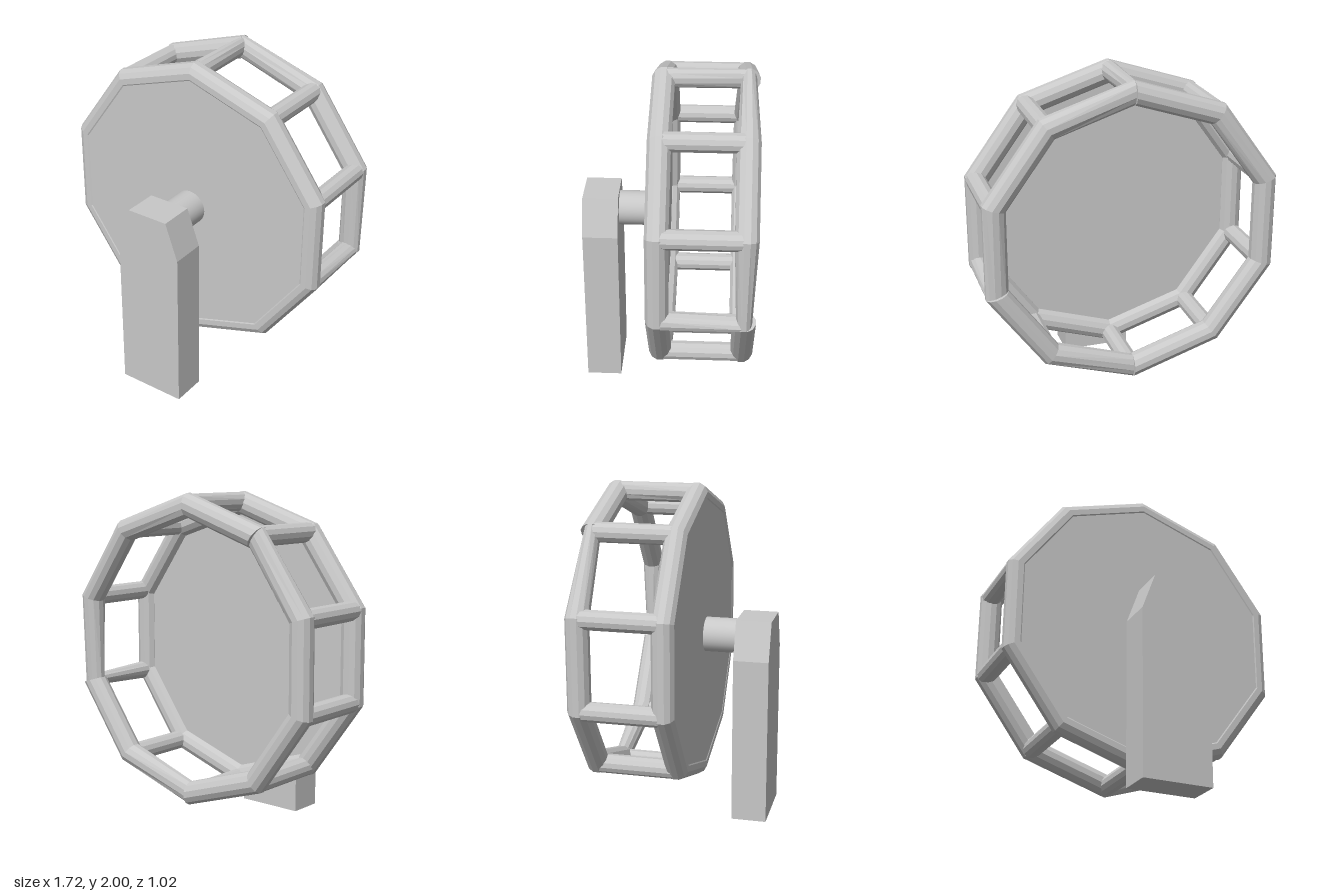
import * as THREE from 'three';

const SIDES = 10, FACETS = 12;
const HUB_Y = 1.095;      // height of the wheel centre
const RING_R = 0.837;     // centre line radius of the rims at the corners
const TUBE = 0.065;       // rim tube half width
const RUNG = 0.055;       // rung half width
const corner = (i) => Math.PI / 2 + (i * 2 * Math.PI) / SIDES;

// One straight rim tube between neighbouring corners, mitred and closed at both
// ends; the scales flatten each end from front to back
function rimSegment(i, startScale, endScale) {
  const r = TUBE / Math.cos(Math.PI / FACETS);
  const point = (angle, scale, k) => {
    const phi = ((k + 0.5) * 2 * Math.PI) / FACETS;
    const d = RING_R + (r * Math.cos(phi)) / Math.cos(Math.PI / SIDES);
    return [d * Math.cos(angle), d * Math.sin(angle), r * scale * Math.sin(phi)];
  };
  const a = corner(i), b = corner(i + 1);
  const centre = (t) => [RING_R * Math.cos(t), RING_R * Math.sin(t), 0];
  const pos = [];
  for (let k = 0; k < FACETS; k++) {
    const a0 = point(a, startScale, k), a1 = point(a, startScale, k + 1);
    const b0 = point(b, endScale, k), b1 = point(b, endScale, k + 1);
    pos.push(...a0, ...b0, ...b1, ...a0, ...b1, ...a1);
    pos.push(...centre(a), ...a0, ...a1, ...centre(b), ...b1, ...b0);
  }
  const geo = new THREE.BufferGeometry();
  geo.setAttribute('position', new THREE.Float32BufferAttribute(pos, 3));
  geo.computeVertexNormals();
  return geo;
}

// Rung along z whose back end is flattened sideways by backScale
function rungGeometry(angle, backScale) {
  const r = RUNG / Math.cos(Math.PI / FACETS);
  const geo = new THREE.CylinderGeometry(r, r, 0.45, FACETS).toNonIndexed();
  geo.rotateY(Math.PI / FACETS);
  geo.rotateX(Math.PI / 2);
  const p = geo.attributes.position;
  for (let i = 0; i < p.count; i++) {
    if (p.getZ(i) < 0) p.setY(i, p.getY(i) * backScale);
  }
  geo.rotateZ(angle);
  geo.computeVertexNormals();
  return geo;
}

export function createModel() {
  const model = new THREE.Group();
  model.name = 'exerciseWheel';
  const grey = new THREE.MeshStandardMaterial({ color: 0xc8c8c8 });
  grey.name = 'lightGrey';

  const add = (parent, geometry, name, x = 0, y = 0, z = 0) => {
    const mesh = new THREE.Mesh(geometry, grey);
    mesh.name = name;
    mesh.position.set(x, y, z);
    parent.add(mesh);
  };

  const wheel = new THREE.Group();
  wheel.name = 'wheel';
  wheel.position.y = HUB_Y;
  model.add(wheel);

  // Front rim is even; some back rim tubes flatten toward one joint
  for (let i = 0; i < SIDES; i++) {
    const startScale = [1, 5, 7].includes(i) ? 0.68 : 1;
    const endScale = i === 9 ? 0.68 : 1;
    add(wheel, rimSegment(i, 1, 1), 'frontRim', 0, 0, 0.035);
    add(wheel, rimSegment(i, startScale, endScale), 'backRim', 0, 0, -0.445);
  }

  // Rungs joining the two rims
  for (let i = 0; i < SIDES; i++) {
    const a = corner(i);
    const backScale = i === 0 || i === 7 ? 0.64 : 1;
    add(wheel, rungGeometry(a, backScale), 'rung', 0.845 * Math.cos(a), 0.845 * Math.sin(a), -0.205);
  }

  // Ten-sided front panel, just behind the front of the rim
  const panelShape = new THREE.Shape(Array.from({ length: SIDES }, (_, i) =>
    new THREE.Vector2(0.83 * Math.cos(corner(i)), 0.83 * Math.sin(corner(i)))));
  const panel = new THREE.ExtrudeGeometry(panelShape, { depth: 0.076, bevelEnabled: false });
  add(wheel, panel, 'frontPanel', 0, 0, 0.02);

  // Axle between wheel and stand
  const axle = new THREE.CylinderGeometry(0.104, 0.104, 0.24, 32);
  axle.rotateX(Math.PI / 2);
  add(model, axle, 'axle', 0, HUB_Y, 0.2);

  // Upright stand with a tapered top
  const standShape = new THREE.Shape([
    [-0.21, 0], [0.21, 0], [0.21, 1.0], [0.13, 1.223], [-0.13, 1.223], [-0.21, 1.0],
  ].map(([x, y]) => new THREE.Vector2(x, y)));
  const stand = new THREE.ExtrudeGeometry(standShape, { depth: 0.21, bevelEnabled: false });
  add(model, stand, 'stand', 0, 0, 0.3);

  return model;
}
